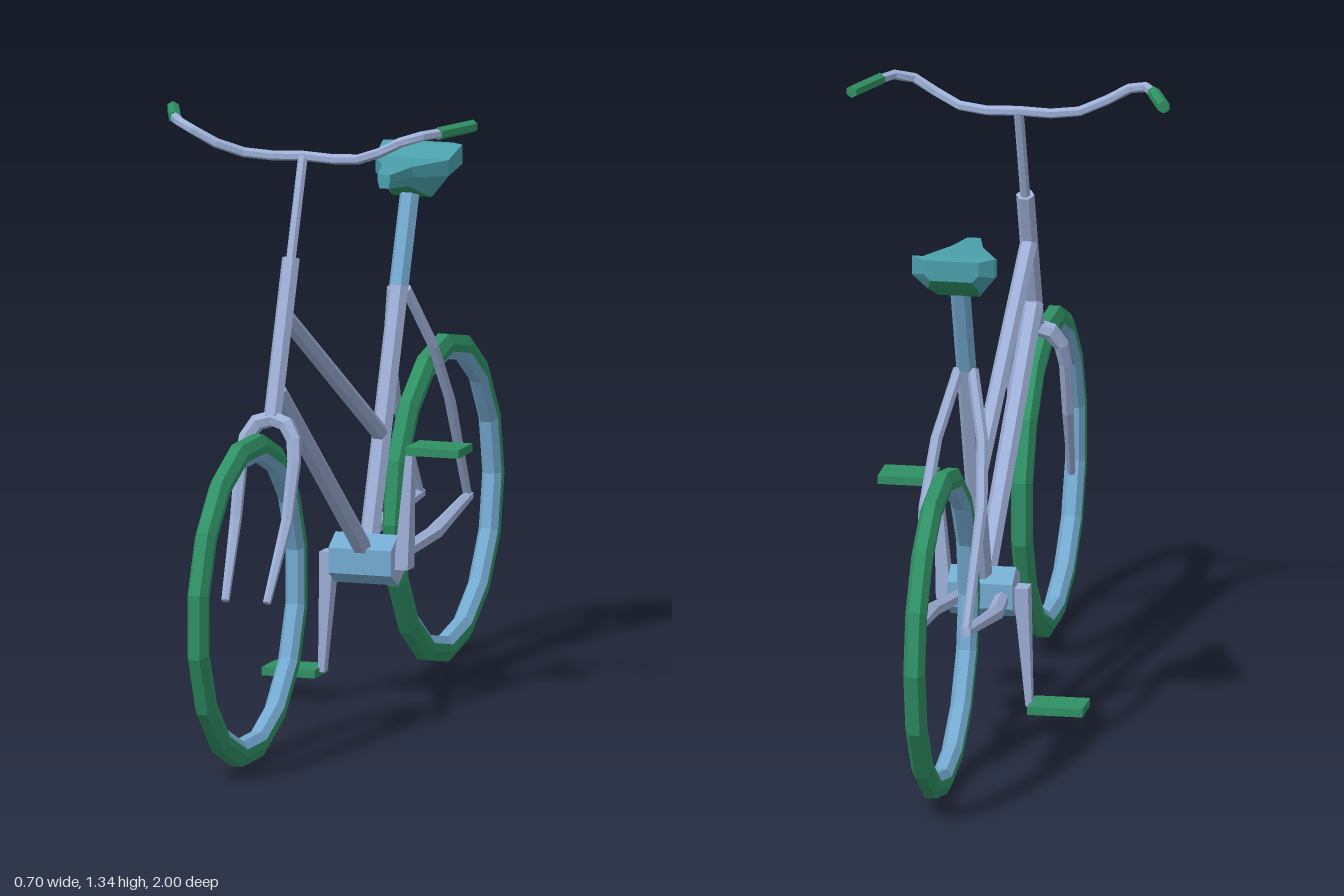
import * as THREE from 'three';

const mat = (name, color) => Object.assign(new THREE.MeshStandardMaterial({ color }), { name });

// Skin a list of rings (arrays of Vector3); one geometry group per side strip face
function loft(rings, matOf = () => 0) {
  const pos = [], g = new THREE.BufferGeometry();
  const n = rings[0].length;
  const tri = (...p) => p.forEach((v) => pos.push(v.x, v.y, v.z));
  const group = (m, count) => g.addGroup(pos.length / 3 - count, count, m);
  for (let i = 0; i < rings.length - 1; i++) {
    for (let j = 0; j < n; j++) {
      const k = (j + 1) % n, [a, b] = [rings[i], rings[i + 1]];
      tri(a[j], a[k], b[k]);
      tri(a[j], b[k], b[j]);
      group(matOf(j), 6);
    }
  }
  const first = rings[0], last = rings[rings.length - 1];
  for (let j = 1; j < n - 1; j++) {
    tri(first[0], first[j + 1], first[j]);
    tri(last[0], last[j], last[j + 1]);
    group(0, 6);
  }
  g.setAttribute('position', new THREE.Float32BufferAttribute(pos, 3));
  return g;
}

// Faceted tube through points [x, y, z, radius]
function tube(pts, ref = [1, 0, 0], sides = 6) {
  const P = pts.map((p) => new THREE.Vector3(p[0], p[1], p[2]));
  const R = new THREE.Vector3(...ref);
  return loft(P.map((p, i) => {
    const t = new THREE.Vector3();
    if (i > 0) t.add(p.clone().sub(P[i - 1]).normalize());
    if (i < P.length - 1) t.add(P[i + 1].clone().sub(p).normalize());
    t.normalize();
    const u = R.clone().cross(t).normalize(), v = t.clone().cross(u);
    return Array.from({ length: sides }, (_, j) => {
      const a = (j + 0.5) / sides * Math.PI * 2, r = pts[i][3];
      return p.clone().addScaledVector(u, r * Math.cos(a)).addScaledVector(v, r * Math.sin(a));
    });
  }));
}

// Complete a half path that starts on the centre line
const mirrorPath = (half) =>
  [...half.slice(1).reverse().map(([x, ...r]) => [-x, ...r]), ...half];

export function createModel() {
  const bike = new THREE.Group();
  bike.name = 'bicycle';
  const frame = mat('lavender frame', 0x9dafd6);
  const steel = mat('steel blue', 0x74aad0);
  const green = mat('green rubber', 0x2f9064);
  const teal = mat('teal saddle', 0x4a9fac);

  const add = (name, geo, material, parent = bike) => {
    const g = geo.index ? geo.toNonIndexed() : geo;
    g.computeVertexNormals();
    const m = new THREE.Mesh(g, material);
    m.name = name;
    parent.add(m);
    return m;
  };

  // Wheels: sixteen-sided tyre with a rim on its inner side
  const lathe = (profile, phase) => new THREE.LatheGeometry(
    profile.map((p) => new THREE.Vector2(...p)), 16, phase).rotateZ(Math.PI / 2);
  for (const [name, z, phase] of [['frontWheel', 0.648, Math.PI / 16], ['rearWheel', -0.643, 0]]) {
    const wheel = new THREE.Group();
    wheel.name = name;
    wheel.position.set(0, 0.359, z);
    add('tyre', lathe([[0.319, -0.022], [0.335, -0.023], [0.357, -0.012],
      [0.357, 0.012], [0.335, 0.023], [0.319, 0.022]], phase), green, wheel);
    add('rim', lathe([[0.319, 0.022], [0.302, 0.011], [0.302, -0.011], [0.319, -0.022]], phase), steel, wheel);
    bike.add(wheel);
  }

  // Main frame tubes
  add('headTube', tube([[0, 0.73, 0.483, 0.02], [0, 1.055, 0.362, 0.02]]), frame);
  add('stem', tube([[0, 1.04, 0.367, 0.011], [0, 1.268, 0.281, 0.011]]), frame);
  add('topTube', tube([[0, 0.935, 0.4, 0.019], [0, 0.575, -0.22, 0.019]]), frame);
  add('downTube', tube([[0, 0.785, 0.458, 0.022], [0, 0.33, -0.126, 0.022]]), frame);
  add('seatTube', tube([[0, 0.32, -0.142, 0.022], [0, 0.87, -0.348, 0.022]]), frame);
  add('seatPost', tube([[0, 0.87, -0.348, 0.022], [0, 1.09, -0.431, 0.022]]), steel);

  // Rear stays, one pair per side
  for (const s of [1, -1]) {
    const side = s > 0 ? 'left' : 'right';
    add(side + 'SeatStay', tube([[s * 0.015, 0.865, -0.352, 0.013], [s * 0.05, 0.73, -0.43, 0.013],
      [s * 0.062, 0.6, -0.505, 0.013], [s * 0.054, 0.366, -0.645, 0.01]]), frame);
    add(side + 'ChainStay', tube([[s * 0.045, 0.307, -0.16, 0.016], [s * 0.07, 0.333, -0.38, 0.018],
      [s * 0.054, 0.366, -0.652, 0.012]], [0, 1, 0]), frame);
  }

  // Fork: arched crown running into two raked blades
  add('fork', tube(mirrorPath([[0, 0.727, 0.484, 0.019], [0.033, 0.717, 0.488, 0.019],
    [0.054, 0.685, 0.499, 0.017], [0.06, 0.64, 0.515, 0.015],
    [0.058, 0.52, 0.555, 0.013], [0.047, 0.357, 0.657, 0.009]]), [0, 0.32, 0.95]), frame);

  // Handlebar and grips
  add('handlebar', tube(mirrorPath([[0, 1.264, 0.282, 0.011], [0.07, 1.261, 0.284, 0.011],
    [0.13, 1.266, 0.294, 0.011], [0.185, 1.287, 0.317, 0.011], [0.235, 1.314, 0.324, 0.011],
    [0.275, 1.326, 0.3, 0.011], [0.302, 1.326, 0.25, 0.011]]), [0, 1, 0]), frame);
  for (const s of [1, -1]) {
    add(s > 0 ? 'leftGrip' : 'rightGrip', tube([[s * 0.298, 1.326, 0.26, 0.014],
      [s * 0.34, 1.326, 0.15, 0.014]], [0, 1, 0]), green);
  }

  // Bottom bracket: hexagonal prism across the frame
  const bracket = add('bottomBracket', new THREE.CylinderGeometry(0.055, 0.055, 0.142, 6, 1, false, Math.PI / 6)
    .rotateZ(Math.PI / 2), [steel, frame, frame]);
  bracket.position.set(0, 0.314, -0.138);

  // Cranks and pedals: the right one is the left one turned half round
  const rect = (y, x0, x1, h) => [[x1, h], [x1, -h], [x0, -h], [x0, h]]
    .map(([x, z]) => new THREE.Vector3(x, y, z));
  for (const s of [1, -1]) {
    const side = s > 0 ? 'left' : 'right';
    const arm = new THREE.Group();
    arm.name = side + 'CrankAssembly';
    arm.position.set(0, 0.312, -0.138);
    if (s < 0) arm.rotation.z = Math.PI;
    add(side + 'Crank', loft([rect(-0.015, 0.068, 0.1, 0.023), rect(0.25, 0.093, 0.107, 0.011)]), frame, arm);
    add(side + 'Pedal', new THREE.BoxGeometry(0.12, 0.018, 0.092).translate(0.163, 0.249, 0), green, arm);
    bike.add(arm);
  }

  // Saddle: [z, half width, top, edge, bottom half width, bottom]
  const saddle = [
    [-0.25, 0.014, 1.13, 1.115, 0.01, 1.1],
    [-0.335, 0.034, 1.134, 1.112, 0.024, 1.092],
    [-0.435, 0.083, 1.135, 1.1, 0.045, 1.052],
    [-0.505, 0.09, 1.157, 1.115, 0.055, 1.085],
    [-0.532, 0.06, 1.155, 1.125, 0.045, 1.11],
  ].map(([z, w, top, mid, wb, bot]) =>
    [[w, top], [w, mid], [wb, bot], [-wb, bot], [-w, mid], [-w, top]]
      .map(([x, y]) => new THREE.Vector3(x, y, z)));
  add('saddle', loft(saddle, (j) => (j === 2 ? 1 : 0)), [teal, green]);

  return bike;
}
